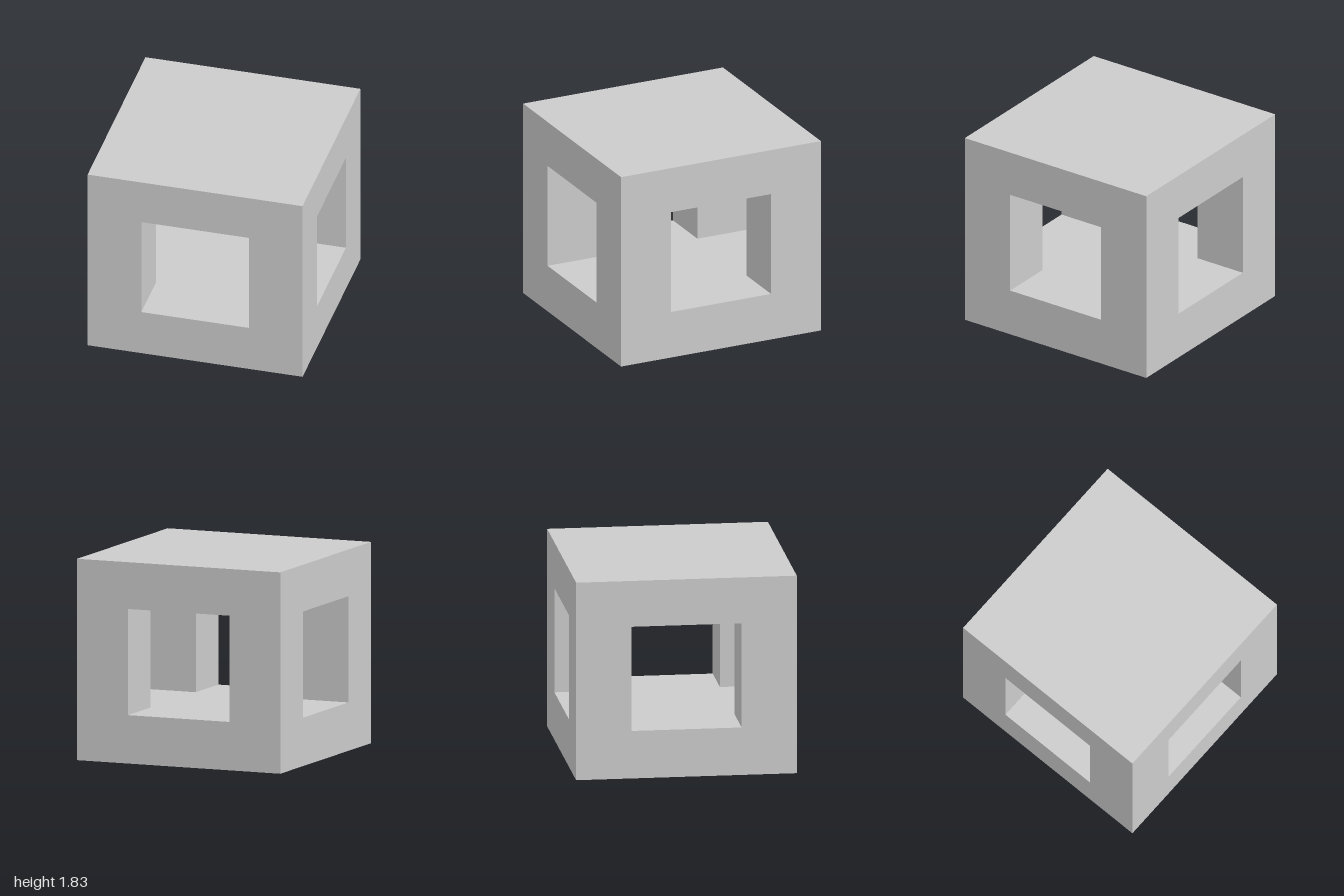
import * as THREE from 'three';

const SIZE = 2, HEIGHT = 1.83;
const FLOOR = 0.44, CEILING = 1.405; // bottom and top of the openings
const POST = 0.5;

export function createModel() {
  const group = new THREE.Group();
  group.name = 'hollowBlock';
  const material = new THREE.MeshStandardMaterial({ color: 0xcccccc, flatShading: true });

  // Square block centred on (x, z), spanning y0 to y1
  const addBlock = (name, width, y0, y1, x = 0, z = 0) => {
    const mesh = new THREE.Mesh(new THREE.BoxGeometry(width, y1 - y0, width), material);
    mesh.name = name;
    mesh.position.set(x, (y0 + y1) / 2, z);
    group.add(mesh);
  };

  // Solid slabs below and above the crossing passages
  addBlock('baseSlab', SIZE, 0, FLOOR);
  addBlock('topSlab', SIZE, CEILING, HEIGHT);

  // Four corner posts
  const offset = (SIZE - POST) / 2;
  for (const [xSide, sx] of [['Left', 1], ['Right', -1]]) {
    for (const [zSide, sz] of [['front', 1], ['back', -1]]) {
      addBlock(`${zSide}${xSide}Post`, POST, FLOOR, CEILING, sx * offset, sz * offset);
    }
  }
  return group;
}
